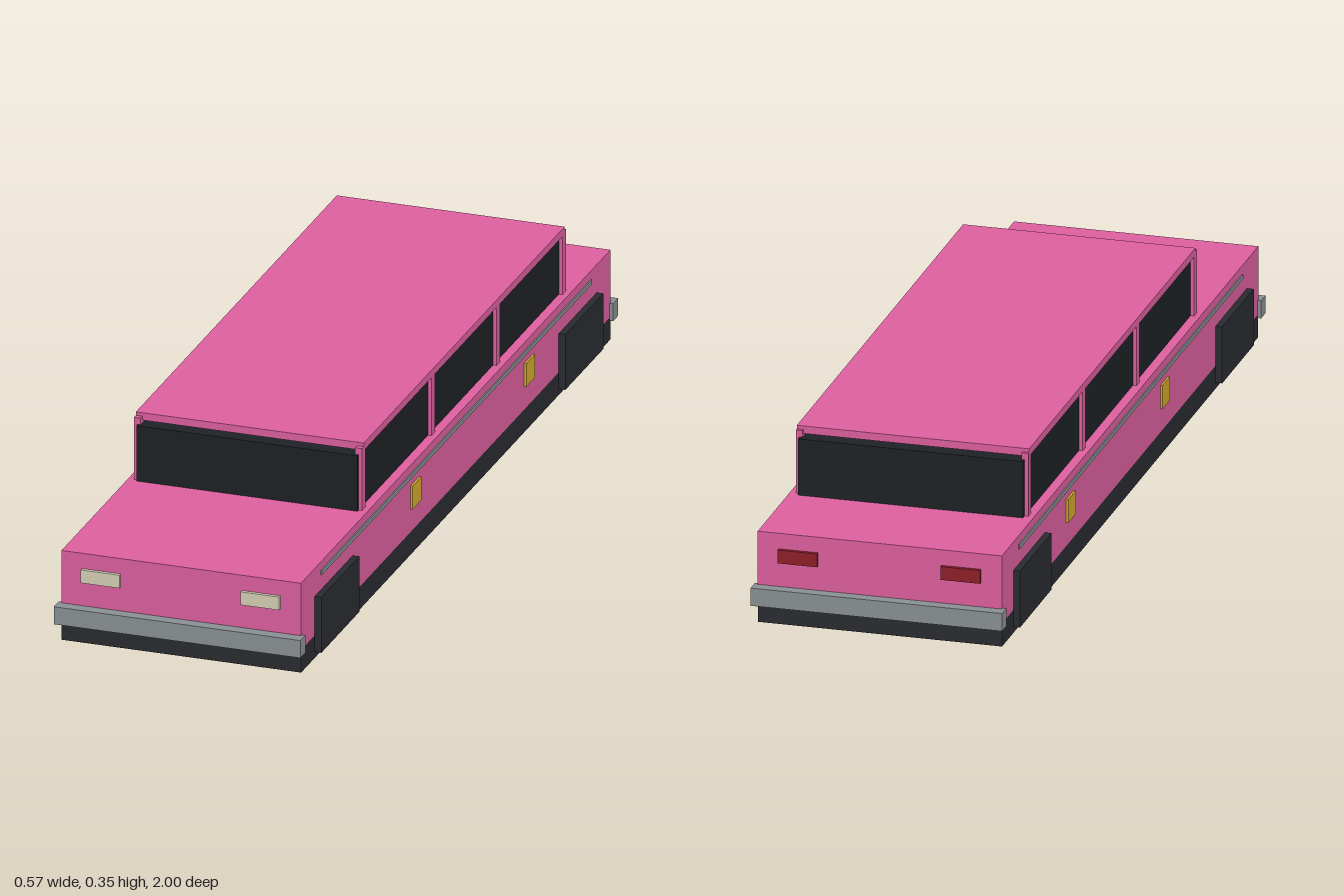
import * as THREE from 'three';

const paint = (color) => new THREE.MeshStandardMaterial({ color });

export function createModel() {
  const car = new THREE.Group();
  car.name = 'limousine';
  const pink = paint(0xdd609f), dark = paint(0x2a2b30), glass = paint(0x1e2125);
  const chrome = paint(0x8a9094), cream = paint(0xd5d0b5), red = paint(0x8e1f28), gold = paint(0xd2a82e);

  // Box given by its extents along each axis
  const box = (name, material, [x0, x1], [y0, y1], [z0, z1]) => {
    const mesh = new THREE.Mesh(new THREE.BoxGeometry(x1 - x0, y1 - y0, z1 - z0), material);
    mesh.position.set((x0 + x1) / 2, (y0 + y1) / 2, (z0 + z1) / 2);
    mesh.name = name;
    car.add(mesh);
  };
  // The same box on the left (+x) and right (-x)
  const pair = (name, material, [x0, x1], y, z) => {
    box(name + 'Left', material, [x0, x1], y, z);
    box(name + 'Right', material, [-x1, -x0], y, z);
  };

  // Lower body
  box('chassis', dark, [-0.269, 0.269], [0, 0.052], [-0.973, 0.973]);
  box('body', pink, [-0.269, 0.269], [0.052, 0.205], [-0.974, 0.974]);
  box('frontBumper', chrome, [-0.277, 0.277], [0.045, 0.085], [0.968, 1]);
  box('rearBumper', chrome, [-0.277, 0.277], [0.045, 0.085], [-1, -0.968]);

  // Cabin: window block, roof and pillars
  box('windows', glass, [-0.248, 0.248], [0.2, 0.332], [-0.741, 0.561]);
  box('roof', pink, [-0.256, 0.256], [0.338, 0.355], [-0.722, 0.542]);
  for (const z of [0.543, 0.105, -0.305, -0.718])
    pair('pillar', pink, [0.241, 0.256], [0.2, 0.347], [z - 0.011, z + 0.011]);

  // Lamps
  pair('headlight', cream, [0.136, 0.223], [0.14, 0.17], [0.965, 0.982]);
  pair('tailLight', red, [0.136, 0.223], [0.14, 0.17], [-0.982, -0.965]);

  // Sides: square wheels, trim strips and gold badges
  for (const z of [0.768, -0.768])
    pair('wheel', dark, [0.24, 0.284], [0.014, 0.141], [z - 0.12, z + 0.12]);
  pair('sideTrim', chrome, [0.262, 0.272], [0.176, 0.186], [-0.85, 0.85]);
  for (const z of [0.258, -0.458])
    pair('badge', gold, [0.262, 0.274], [0.105, 0.158], [z - 0.028, z + 0.028]);

  return car;
}
